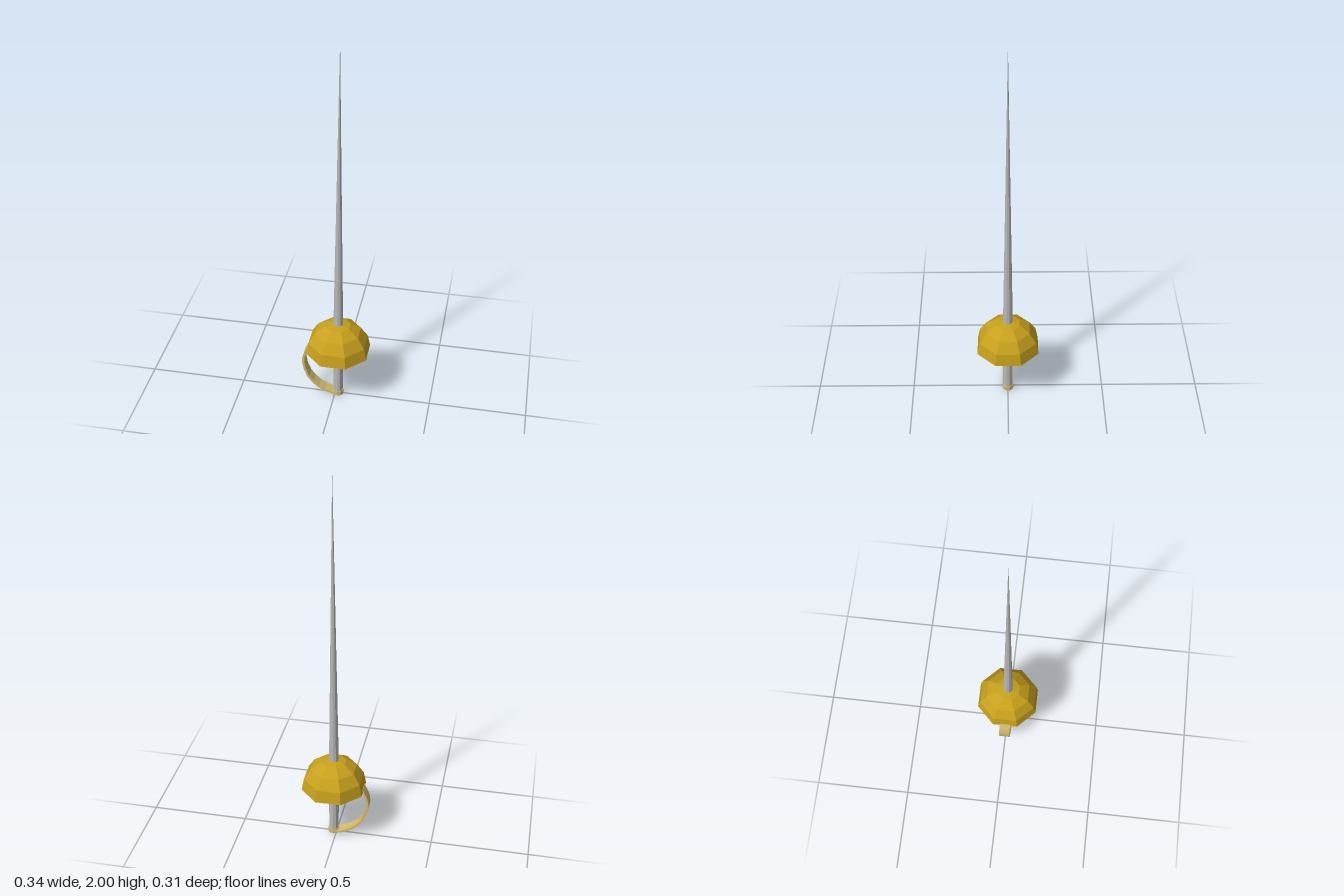
import * as THREE from 'three';

const AXIS = 0.015; // x of the blade axis

export function createModel() {
  const gold = new THREE.MeshStandardMaterial({ color: 0xc7a01c, side: THREE.DoubleSide });
  const brass = new THREE.MeshStandardMaterial({ color: 0xd2bb6e });
  const steel = new THREE.MeshStandardMaterial({ color: 0xb8b8b8 });
  gold.name = 'gold';
  brass.name = 'pale brass';
  steel.name = 'steel';

  const model = new THREE.Group();
  model.name = 'fencingSword';

  // Adds a flat-shaded part
  const add = (name, geometry, material, x = AXIS, y = 0) => {
    const flat = geometry.index ? geometry.toNonIndexed() : geometry;
    flat.computeVertexNormals();
    const mesh = new THREE.Mesh(flat, material);
    mesh.name = name;
    mesh.position.set(x, y, 0);
    model.add(mesh);
  };

  // Tapered blade; the point leans very slightly to one side
  const blade = new THREE.ConeGeometry(0.025, 1.56, 10, 1);
  blade.translate(0, 0.78, 0);
  const p = blade.attributes.position;
  for (let i = 0; i < p.count; i++) p.setX(i, p.getX(i) + 0.006 * p.getY(i) / 1.56);
  add('blade', blade, steel, AXIS, 0.44);

  // Straight grip
  add('grip', new THREE.CylinderGeometry(0.025, 0.025, 0.43, 10), steel, AXIS, 0.235);

  // Eight-sided bell guard: inner dome, rim and outer dome
  const point = (r, k) => new THREE.Vector2(r * Math.sin(k * Math.PI / 8), r * Math.cos(k * Math.PI / 8));
  const profile = [];
  for (let k = 0; k <= 4; k++) profile.push(point(0.158, k));
  for (let k = 4; k >= 0; k--) profile.push(point(0.169, k));
  add('bellGuard', new THREE.LatheGeometry(profile, 8, Math.PI / 8), gold, AXIS, 0.288);

  // Pommel disc
  add('pommel', new THREE.CylinderGeometry(0.029, 0.029, 0.026, 10), brass, AXIS, 0.013);

  // Knuckle bow: a flat strap swept from the pommel to the guard rim
  const path = new THREE.CatmullRomCurve3([
    [0.02, 0.01], [-0.015, 0.014], [-0.085, 0.047], [-0.14, 0.108],
    [-0.166, 0.2], [-0.157, 0.252], [-0.134, 0.3],
  ].map(([x, y]) => new THREE.Vector3(x, y, 0)));
  const n = 12;
  const outer = [];
  const inner = [];
  for (let i = 0; i <= n; i++) {
    const c = path.getPoint(i / n);
    const t = path.getTangent(i / n);
    outer.push(new THREE.Vector2(c.x - t.y * 0.006, c.y + t.x * 0.006));
    inner.push(new THREE.Vector2(c.x + t.y * 0.006, c.y - t.x * 0.006));
  }
  const strap = new THREE.ExtrudeGeometry(
    new THREE.Shape([...outer, ...inner.reverse()]), { depth: 0.056, bevelEnabled: false });
  strap.translate(0, 0, -0.028);
  add('knuckleBow', strap, brass, 0);

  return model;
}
